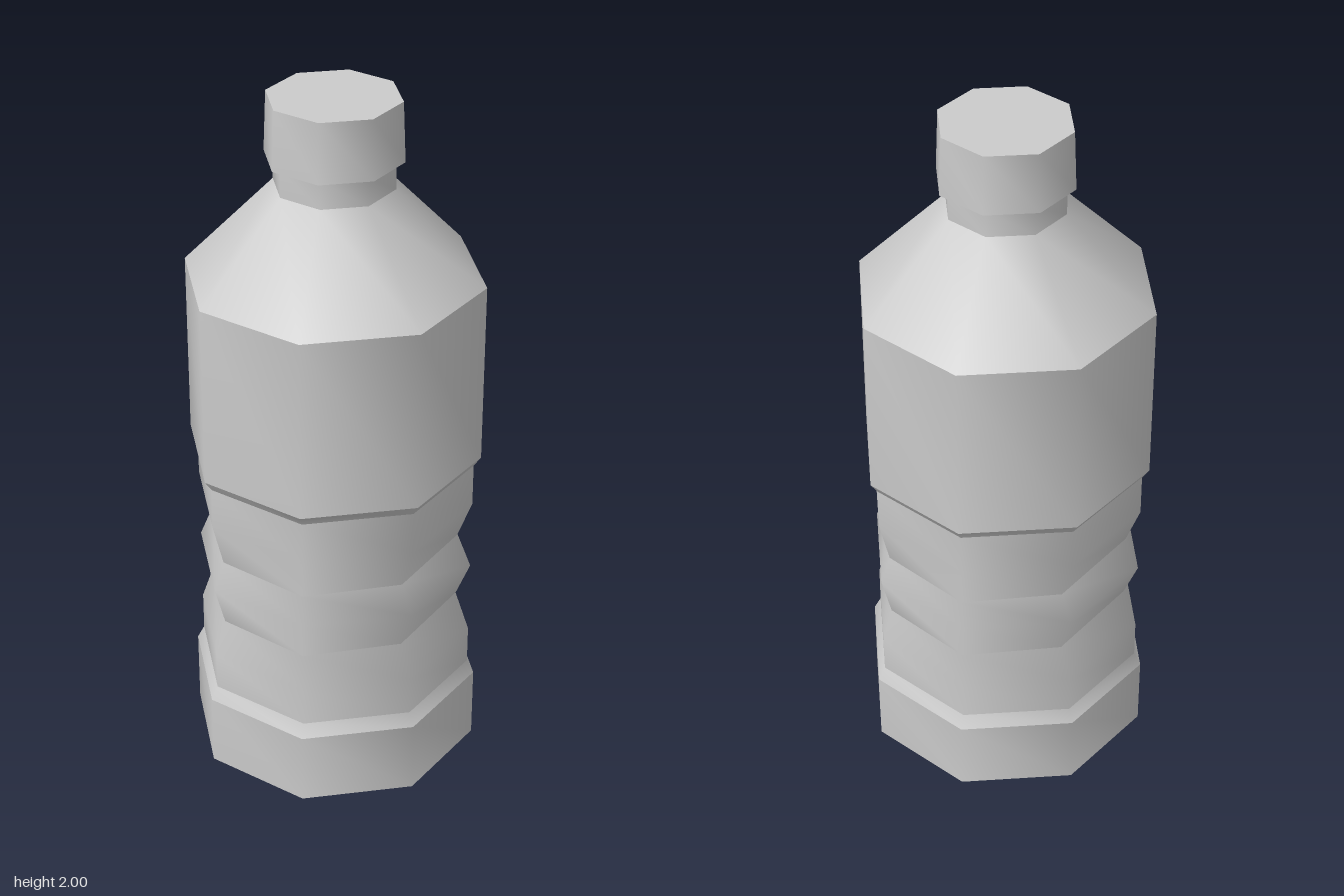
import * as THREE from 'three';
import { mergeVertices, mergeGeometries } from 'three/addons/utils/BufferGeometryUtils.js';

const SIDES = 8;
const material = new THREE.MeshStandardMaterial({ color: 0xcccccc });

// One smooth eight-sided band. Profile points are [radius, y, optional x squeeze], bottom to top.
function band(points) {
  const lathe = new THREE.LatheGeometry(points.map(([r, y]) => new THREE.Vector2(r, y)), SIDES);
  const pos = lathe.attributes.position;
  for (let i = 0; i < pos.count; i++) {
    pos.setX(i, pos.getX(i) * (points[i % points.length][2] ?? 1));
  }
  lathe.deleteAttribute('uv');
  lathe.deleteAttribute('normal');
  const welded = mergeVertices(lathe, 1e-4);
  welded.computeVertexNormals();
  return welded;
}

// Bands stay separate so the edges between them are sharp.
function part(name, bands) {
  const mesh = new THREE.Mesh(mergeGeometries(bands.map(band)), material);
  mesh.name = name;
  return mesh;
}

export function createModel() {
  const group = new THREE.Group();
  group.name = 'bottle';
  const R = 0.42, W = 0.4, PINCH = 0.9;

  group.add(
    // Foot with a bevelled upper rim
    part('base', [
      [[0, 0], [R, 0]],
      [[R, 0], [R, 0.215]],
      [[R, 0.215], [W, 0.255]],
    ]),
    // Waist with two finger grooves pinched in from the sides only
    part('grip', [
      [[W, 0.255], [W, 0.37], [W, 0.49, PINCH]],
      [[W, 0.49, PINCH], [W, 0.59], [W, 0.69, PINCH]],
      [[W, 0.69, PINCH], [W, 0.8], [W, 0.925]],
    ]),
    // Upper body
    part('upperBody', [
      [[W, 0.925], [R, 0.955]],
      [[R, 0.955], [R, 1.485]],
    ]),
    part('shoulder', [[[R, 1.485], [0.168, 1.75]]]),
    part('neck', [[[0.168, 1.75], [0.168, 1.83]]]),
    // Slightly tapered cap
    part('cap', [
      [[0.168, 1.83], [0.192, 1.83]],
      [[0.192, 1.83], [0.185, 2]],
      [[0.185, 2], [0, 2]],
    ]),
  );
  return group;
}
